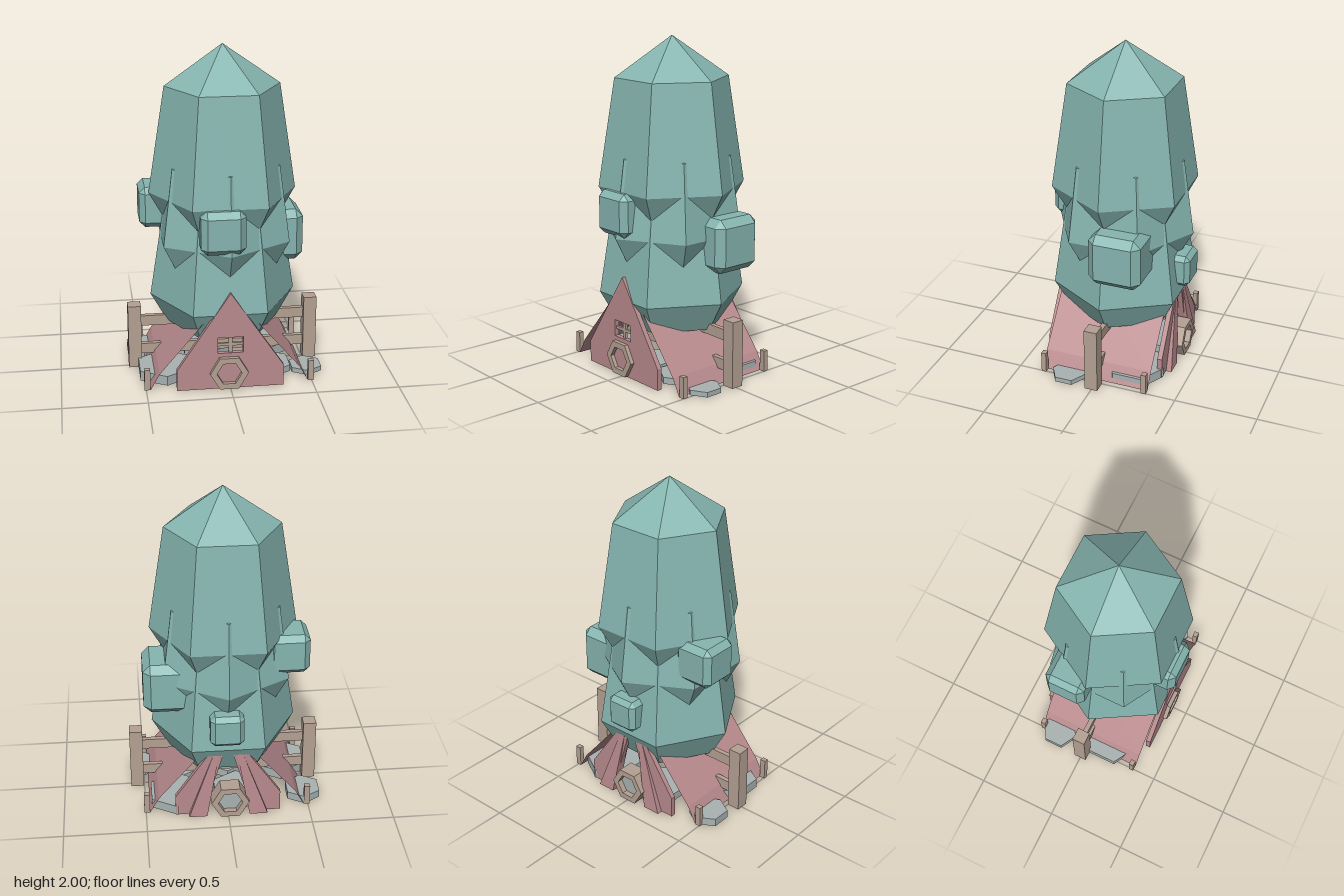
import * as THREE from 'three';
import { ConvexGeometry } from 'three/addons/geometries/ConvexGeometry.js';

const mat = (color, side = THREE.FrontSide) =>
  new THREE.MeshStandardMaterial({ color, flatShading: true, side });

export function createModel() {
  const model = new THREE.Group();
  const leaf = mat(0x86b5b0), cloth = mat(0xb98b8e), wood = mat(0xb5a193), stone = mat(0xa9b2b2);
  const sheet = mat(0xb98b8e, THREE.DoubleSide);

  const add = (name, geometry, material, x = 0, y = 0, z = 0, parent = model) => {
    const mesh = new THREE.Mesh(geometry, material);
    mesh.name = name;
    mesh.position.set(x, y, z);
    parent.add(mesh);
    return mesh;
  };
  const box = (name, w, h, d, x, y, z, material = wood) =>
    add(name, new THREE.BoxGeometry(w, h, d), material, x, y, z);
  const shapeOf = (pts) => new THREE.Shape(pts.map(([x, y]) => new THREE.Vector2(x, y)));
  const pathOf = (pts) => new THREE.Path(pts.map(([x, y]) => new THREE.Vector2(x, y)));
  const extrude = (shape, depth) => new THREE.ExtrudeGeometry(shape, { depth, bevelEnabled: false });

  // Six-sided crown tiers, the middle one turned by half a side
  const tier = (name, profile, turn) => add(name,
    new THREE.LatheGeometry(profile.map(([r, y]) => new THREE.Vector2(r, y)), 6),
    leaf).rotation.y = turn;
  tier('lowerTier', [[0, 0.29], [0.34, 0.29], [0.44, 0.47], [0.34, 1.11], [0, 1.3]], Math.PI / 6);
  tier('middleTier', [[0, 0.67], [0.335, 0.67], [0.43, 0.85], [0.364, 1.31], [0, 1.5]], 0);
  tier('upperTier', [[0, 0.94], [0.34, 0.94], [0.44, 1.12], [0.34, 1.76], [0, 2]], Math.PI / 6);

  // Chamfered blocks growing out of the crown
  const chamferBox = (size, b) => {
    const h = size / 2, k = h - b, pts = [];
    for (const sx of [-1, 1]) for (const sy of [-1, 1]) for (const sz of [-1, 1])
      for (const [x, y, z] of [[h, k, k], [k, h, k], [k, k, h]])
        pts.push(new THREE.Vector3(sx * x, sy * y, sz * z));
    return new ConvexGeometry(pts);
  };
  for (const [name, size, x, y, z] of [
    ['frontBlock', 0.26, -0.045, 0.99, 0.31],
    ['leftBlock', 0.32, 0.33, 0.82, -0.1],
    ['rightBlock', 0.25, -0.37, 1.015, -0.125],
    ['backBlock', 0.2, 0.01, 0.627, -0.34],
  ]) add(name, chamferBox(size, size * 0.14), leaf, x, y, z);

  // Front gable with a window
  const gable = shapeOf([[-0.32, 0], [0.32, 0], [0.32, 0.13], [0, 0.61], [-0.32, 0.13]]);
  gable.holes.push(pathOf([[-0.075, 0.23], [-0.075, 0.33], [0.075, 0.33], [0.075, 0.23]]));
  add('frontGable', extrude(gable, 0.03), cloth, 0, 0, 0.355);
  box('windowBar', 0.022, 0.1, 0.015, 0, 0.28, 0.365);
  box('windowBar', 0.15, 0.018, 0.015, 0, 0.28, 0.365);

  // Thin roof sheets flaring down to the ground
  const roofLine = [[0, 0.6], [0.42, 0.1], [0.475, 0]];
  for (const s of [-1, 1]) {
    for (let i = 0; i < 2; i++) {
      const [x0, y0] = roofLine[i], [x1, y1] = roofLine[i + 1];
      const panel = add('roof', new THREE.PlaneGeometry(Math.hypot(x1 - x0, y1 - y0), 0.675), sheet,
        s * (x0 + x1) / 2, (y0 + y1) / 2, 0.0175);
      panel.rotation.order = 'ZXY';
      panel.rotation.set(-Math.PI / 2, 0, s * Math.atan2(y1 - y0, x1 - x0));
    }
    // Back half gable and its leaning flap beside the opening
    const half = shapeOf([[s * 0.15, 0], [s * 0.32, 0], [s * 0.32, 0.13], [0, 0.6], [s * 0.03, 0.42]]);
    add('backGable', extrude(half, 0.03), cloth, 0, 0, -0.355);
    const flap = shapeOf([[s * 0.13, 0], [s * 0.24, 0], [s * 0.08, 0.45], [s * 0.05, 0.45]]);
    add('backFlap', extrude(flap, 0.06), cloth, 0, 0, -0.39).rotation.x = 0.08;

    // Fence posts and low corner pegs
    box('fencePost', 0.08, 0.405, 0.08, s * 0.543, 0.2025, 0);
    for (const z of [-0.305, 0.338]) box('cornerPeg', 0.035, 0.13, 0.03, s * 0.493, 0.065, z);
  }
  for (const y of [0.112, 0.298]) box('fenceRail', 1.02, 0.065, 0.03, 0, y, 0);

  // Six-sided porthole doors, front and back
  const hexagon = (r) => Array.from({ length: 6 }, (_, i) =>
    [r * Math.cos(i * Math.PI / 3), r * Math.sin(i * Math.PI / 3)]);
  const ring = shapeOf(hexagon(0.115));
  ring.holes.push(pathOf(hexagon(0.075).reverse()));
  for (const s of [-1, 1]) {
    const door = new THREE.Group();
    door.name = s > 0 ? 'frontDoor' : 'backDoor';
    door.position.set(-0.01, 0.105, s * 0.41);
    door.rotation.y = s > 0 ? 0 : Math.PI;
    add('doorRing', extrude(ring, 0.1), wood, 0, 0, -0.1, door);
    add('doorPane', extrude(shapeOf(hexagon(0.08)), 0.05), stone, 0, 0, -0.085, door);
    model.add(door);
  }

  // Flat paving stones
  for (const [x, z, r, h] of [
    [-0.48, -0.2, 0.115, 0.05], [0.49, 0.18, 0.105, 0.03],
    [-0.37, 0.13, 0.18, 0.06], [0.305, -0.18, 0.18, 0.06],
    [-0.03, 0.17, 0.17, 0.05], [-0.08, -0.17, 0.17, 0.05], [0.26, 0.14, 0.15, 0.04],
  ]) add('pavingStone', new THREE.CylinderGeometry(r, r, h, 6), stone, x, h / 2, z);

  return model;
}
